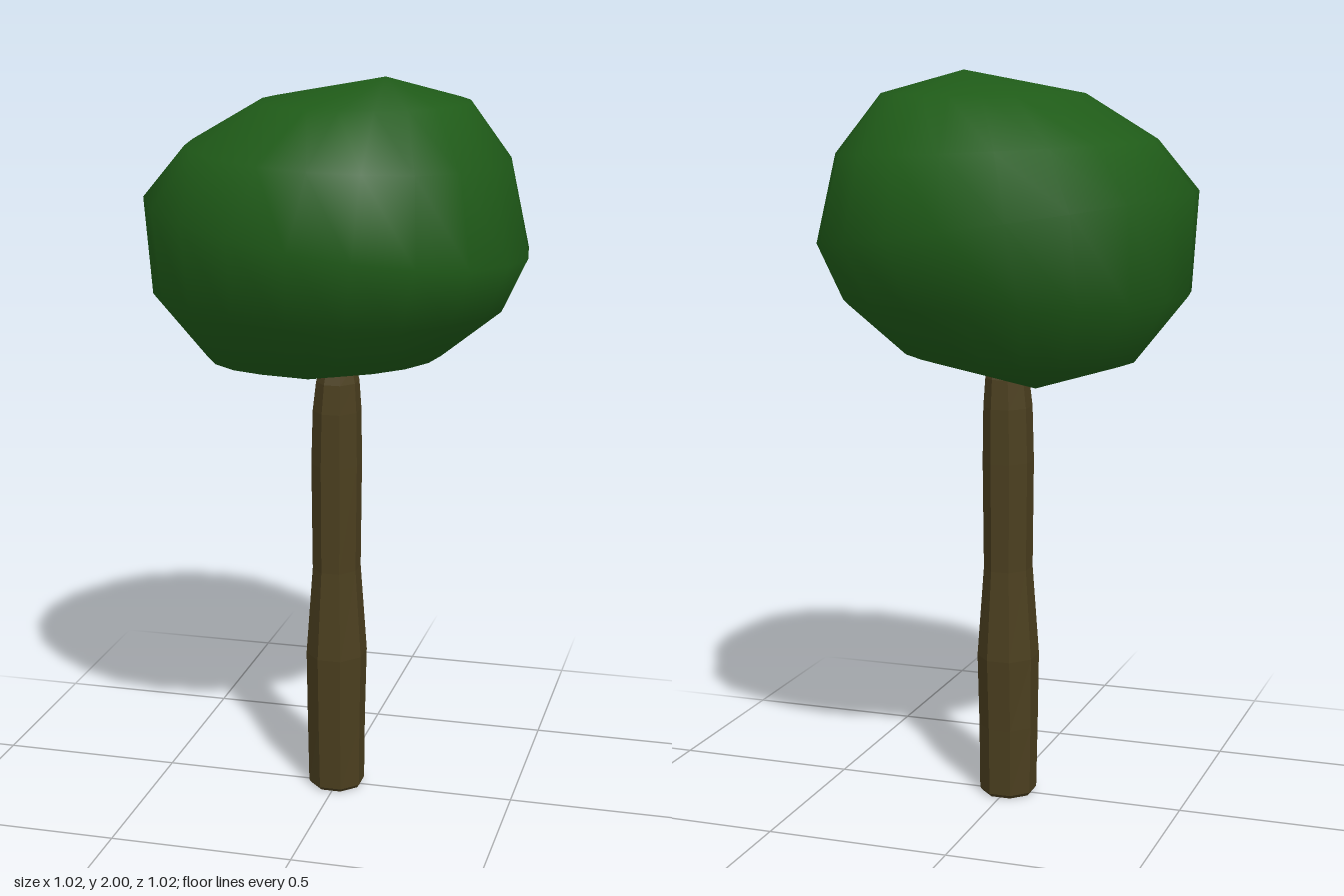
import * as THREE from 'three';
import { mergeVertices } from 'three/addons/utils/BufferGeometryUtils.js';

// Rows of [y, half width x, half depth z, offset x]
const TRUNK = [
  [0, 0.066, 0.066, -0.003],
  [0.01, 0.073, 0.074, -0.003],
  [0.2, 0.075, 0.08, -0.004],
  [0.4, 0.078, 0.088, -0.003],
  [0.65, 0.061, 0.072, -0.003],
  [0.95, 0.064, 0.072, -0.003],
  [1.1, 0.061, 0.07, -0.002],
  [1.18, 0.054, 0.063, 0],
  [1.22, 0.045, 0.05, 0],
];

// Crown rings from top to bottom: [centre x, centre y, centre z, radius x, radius z, rise towards +x]
const CROWN = [
  [0.14, 2.0, 0.05, 0, 0, 0],
  [0.085, 1.938, 0.05, 0.275, 0.275, 0],
  [0.03, 1.8, 0, 0.43, 0.43, -0.02],
  [0, 1.613, 0, 0.512, 0.512, -0.075],
  [-0.03, 1.405, -0.01, 0.472, 0.425, -0.015],
  [-0.04, 1.25, -0.02, 0.32, 0.29, 0.01],
  [-0.1, 1.163, -0.06, 0, 0, 0],
];

// Eight-sided trunk with a slight swelling, flats facing front and sides
function makeTrunk() {
  const sides = 8;
  const geo = new THREE.CylinderGeometry(1, 1, 1, sides, TRUNK.length - 1);
  const pos = geo.attributes.position;
  const flat = 1 / Math.cos(Math.PI / sides);
  geo.rotateY(Math.PI / sides);
  for (let i = 0; i < pos.count; i++) {
    const row = Math.round((pos.getY(i) + 0.5) * (TRUNK.length - 1));
    const [y, rx, rz, ox] = TRUNK[row];
    pos.setXYZ(i, pos.getX(i) * rx * flat + ox, y, pos.getZ(i) * rz * flat);
  }
  const trunk = new THREE.Mesh(geo, new THREE.MeshStandardMaterial({ color: 0x4b3f1f, flatShading: true }));
  trunk.name = 'trunk';
  return trunk;
}

// Crown: a coarse sphere whose rings follow the table, smooth shaded
function makeCrown() {
  const around = 20;
  const sphere = new THREE.SphereGeometry(1, around, CROWN.length - 1);
  const pos = sphere.attributes.position;
  for (let i = 0; i < pos.count; i++) {
    const [cx, cy, cz, rx, rz, rise] = CROWN[Math.floor(i / (around + 1))];
    const angle = ((i % (around + 1)) / around) * Math.PI * 2;
    const c = -Math.cos(angle);
    pos.setXYZ(i, cx + rx * c, cy + rise * c, cz + rz * Math.sin(angle));
  }
  // Join the seam and poles so the shading is smooth throughout
  sphere.deleteAttribute('normal');
  sphere.deleteAttribute('uv');
  const geo = mergeVertices(sphere);
  geo.computeVertexNormals();
  const crown = new THREE.Mesh(geo, new THREE.MeshStandardMaterial({ color: 0x1f5b18 }));
  crown.name = 'crown';
  return crown;
}

export function createModel() {
  const tree = new THREE.Group();
  tree.name = 'tree';
  tree.add(makeTrunk(), makeCrown());
  return tree;
}
